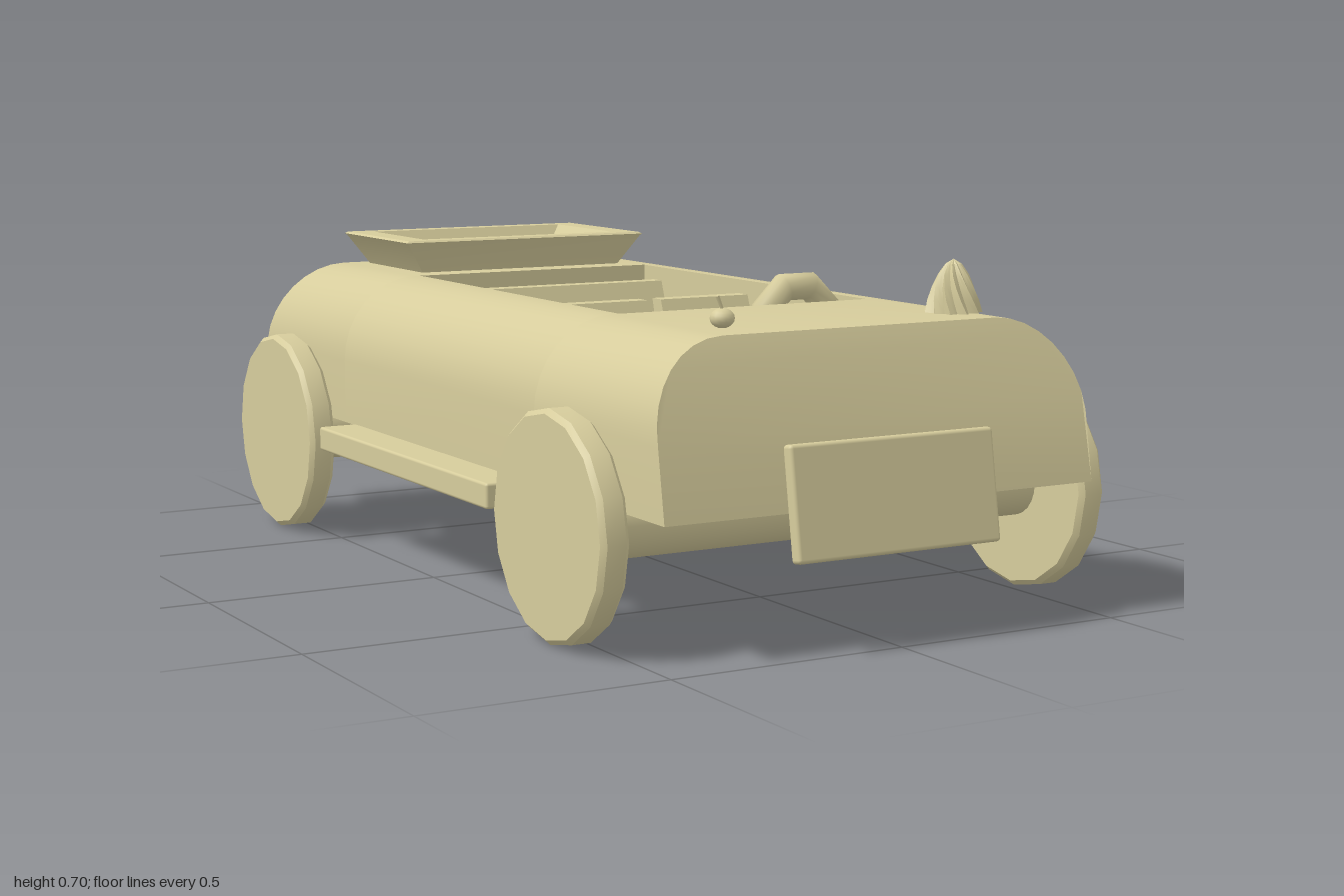
import * as THREE from 'three';
import { toCreasedNormals } from 'three/addons/utils/BufferGeometryUtils.js';
import { RoundedBoxGeometry } from 'three/addons/geometries/RoundedBoxGeometry.js';

const material = new THREE.MeshStandardMaterial({ color: 0xd6cc9c });
const BOTTOM = 0.27, TOP = 0.595, FLOOR = 0.29;

export function createModel() {
  const car = new THREE.Group();
  car.name = 'car';

  const add = (name, geometry, x = 0, y = 0, z = 0, parent = car) => {
    const mesh = new THREE.Mesh(geometry, material);
    mesh.name = name;
    mesh.position.set(x, y, z);
    parent.add(mesh);
    return mesh;
  };
  const crease = (geometry, angle = 0.6) => toCreasedNormals(geometry, angle);

  // Body cross-section: straight sides, elliptical shoulders, flat deck
  const bodyOutline = (cockpit) => {
    const right = [];
    for (let i = 0; i <= 8; i++) {
      const a = (i / 8) * Math.PI / 2;
      right.push([0.31 + 0.175 * Math.cos(a), 0.41 + 0.185 * Math.sin(a)]);
    }
    const left = right.map(([x, y]) => [-x, y]).reverse();
    const well = cockpit ? [[0.295, TOP], [0.295, FLOOR], [-0.295, FLOOR], [-0.295, TOP]] : [];
    const points = [[0.485, BOTTOM], ...right, ...well, ...left, [-0.485, BOTTOM]];
    return new THREE.Shape(points.map(([x, y]) => new THREE.Vector2(x, y)));
  };

  // A slice of body from z0 to z1; the outer ends lean inwards with height
  const bodySlice = (name, z0, z1, cockpit, lean) => {
    const geometry = new THREE.ExtrudeGeometry(bodyOutline(cockpit), { depth: z1 - z0, bevelEnabled: false });
    geometry.translate(0, 0, z0);
    const p = geometry.attributes.position;
    for (let i = 0; i < p.count; i++) {
      const z = p.getZ(i);
      const inset = 0.09 * Math.pow(Math.max(0, (p.getY(i) - BOTTOM) / (TOP - BOTTOM)), 1.6);
      if (lean > 0 && z > z1 - 1e-4) p.setZ(i, z - inset);
      if (lean < 0 && z < z0 + 1e-4) p.setZ(i, z + inset);
    }
    add(name, crease(geometry));
  };
  bodySlice('bodyFront', 0.44, 0.95, false, 1);
  bodySlice('bodyMiddle', -0.5, 0.44, true, 0);
  bodySlice('bodyRear', -1, -0.5, false, -1);

  // Running board slab under the body
  add('runningBoard', new RoundedBoxGeometry(1.14, 0.052, 0.85, 2, 0.006), 0, 0.246, -0.025);

  // Axles and wheels
  const R = 0.225, W = 0.03, B = 0.01;
  const wheelProfile = [[0, -W], [R - B, -W], [R, -W + B], [R, W - B], [R - B, W], [0, W]]
    .map(([r, y]) => new THREE.Vector2(r, y));
  for (const [end, z] of [['front', 0.66], ['rear', -0.71]]) {
    add(end + 'Axle', new THREE.CylinderGeometry(0.075, 0.075, 1.04, 24), 0, 0.23, z).rotation.z = Math.PI / 2;
    for (const side of [-1, 1]) {
      const wheel = add(end + (side > 0 ? 'LeftWheel' : 'RightWheel'),
        crease(new THREE.LatheGeometry(wheelProfile, 16)), side * 0.545, 0.229, z);
      wheel.rotation.z = Math.PI / 2;
    }
  }

  // Front plate, its lower edge tilted outwards
  add('frontPlate', new RoundedBoxGeometry(0.46, 0.22, 0.028, 2, 0.008), 0, 0.29, 0.968).rotation.x = -0.16;

  // Seats: a reclined back and a cushion in one side profile
  const seat = (name, x0, x1, zBack) => {
    const side = [[0, 0.575], [0.08, FLOOR], [0.32, FLOOR], [0.32, 0.37], [0.112, 0.37], [0.037, 0.575]];
    const shape = new THREE.Shape(side.map(([z, y]) => new THREE.Vector2(z, y)));
    const geometry = new THREE.ExtrudeGeometry(shape, { depth: x1 - x0, bevelEnabled: false });
    add(name, geometry, x1, 0, zBack).rotation.y = -Math.PI / 2;
  };
  seat('rearBench', -0.24, 0.235, -0.35);
  seat('frontRightSeat', -0.24, -0.02, 0.03);
  seat('frontLeftSeat', 0.015, 0.235, 0.03);

  // Steering wheel
  add('steeringWheel', new THREE.TorusGeometry(0.08, 0.03, 10, 8), 0.14, 0.552, 0.41)
    .rotation.z = Math.PI / 8;

  // Tray on the rear deck: rectangular rings from base, over the rim, to the inner floor
  const rings = [[0.255, 0.15, 0.59], [0.305, 0.18, 0.663], [0.31, 0.183, 0.667], [0.303, 0.178, 0.671],
    [0.25, 0.14, 0.671], [0.205, 0.11, 0.615]];
  const corners = [[1, 1], [1, -1], [-1, -1], [-1, 1]];
  const positions = rings.flatMap(([x, z, y]) => corners.flatMap(([sx, sz]) => [sx * x, y, sz * z]));
  const index = [];
  for (let r = 0; r < rings.length - 1; r++) {
    for (let k = 0; k < 4; k++) {
      const a = r * 4 + k, b = r * 4 + (k + 1) % 4;
      index.push(a, b, b + 4, a, b + 4, a + 4);
    }
  }
  const last = (rings.length - 1) * 4;
  index.push(last, last + 1, last + 2, last, last + 2, last + 3, 0, 2, 1, 0, 3, 2);
  const tray = new THREE.BufferGeometry();
  tray.setAttribute('position', new THREE.Float32BufferAttribute(positions, 3));
  tray.setIndex(index);
  add('rearTray', crease(tray, 0.3), 0, 0, -0.72);

  // Twisted, fluted cone on the front deck
  const coneProfile = [[0.057, 0], [0.05, 0.025], [0.041, 0.05], [0.03, 0.075], [0.016, 0.096], [0, 0.106]]
    .map(([r, y]) => new THREE.Vector2(r, y));
  const cone = new THREE.LatheGeometry(coneProfile, 44);
  const p = cone.attributes.position;
  for (let i = 0; i < p.count; i++) {
    const x = p.getX(i), y = p.getY(i), z = p.getZ(i);
    const angle = Math.atan2(z, x), r = Math.hypot(x, z) * (0.9 + 0.13 * Math.cos(11 * angle));
    const turned = angle + y * 7;
    p.setXYZ(i, r * Math.cos(turned), y, r * Math.sin(turned));
  }
  add('swirlCone', crease(cone, 0.5), 0.3, TOP, 0.735);

  // Small round knob with a leaning stem
  const knob = new THREE.Group();
  knob.name = 'knob';
  knob.position.set(-0.245, 0.613, 0.75);
  car.add(knob);
  add('knobBall', new THREE.SphereGeometry(0.024, 14, 10), 0, 0, 0, knob).scale.y = 0.8;
  add('knobStem', new THREE.CylinderGeometry(0.004, 0.003, 0.036, 8), -0.004, 0.026, 0, knob).rotation.z = 0.4;

  return car;
}
